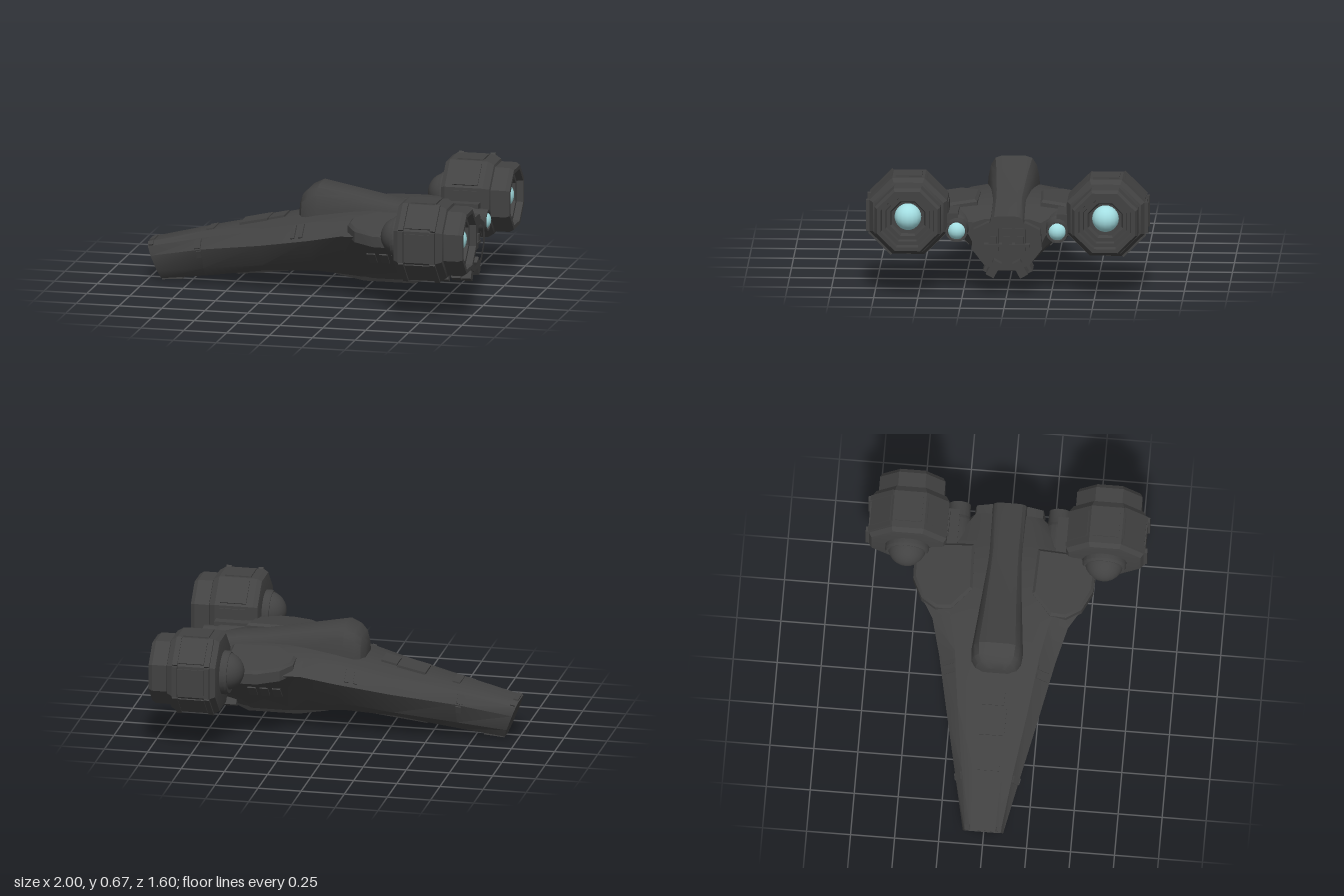
import * as THREE from 'three';
import { toCreasedNormals } from 'three/addons/utils/BufferGeometryUtils.js';

export function createModel() {
  const root = new THREE.Group();
  root.name = 'spacecraft';
  const hullGrey = new THREE.MeshStandardMaterial({ color: 0x424242 });
  hullGrey.name = 'hull grey';
  const glowBlue = new THREE.MeshStandardMaterial({ color: 0xa4dfe3 });
  glowBlue.name = 'engine glow blue';

  const add = (name, geo, parent = root, mat = hullGrey) => {
    const mesh = new THREE.Mesh(toCreasedNormals(geo, 0.5), mat);
    mesh.name = name;
    parent.add(mesh);
    return mesh;
  };
  const box = (name, x0, x1, y0, y1, z0, z1, parent = root) => {
    const mesh = add(name, new THREE.BoxGeometry(x1 - x0, y1 - y0, z1 - z0), parent);
    mesh.position.set((x0 + x1) / 2, (y0 + y1) / 2, (z0 + z1) / 2);
    return mesh;
  };

  // Skin a list of rings; each ring runs counterclockwise seen from the last ring's side
  const loft = (rings) => {
    const n = rings[0].length, last = (rings.length - 1) * n, index = [];
    for (let r = 0; r < rings.length - 1; r++) {
      for (let i = 0; i < n; i++) {
        const a = r * n + i, b = r * n + ((i + 1) % n);
        index.push(a, b, a + n, b, b + n, a + n);
      }
    }
    for (let i = 1; i < n - 1; i++) index.push(0, i + 1, i, last, last + i, last + i + 1);
    const geo = new THREE.BufferGeometry();
    geo.setAttribute('position', new THREE.Float32BufferAttribute(rings.flat(2), 3));
    geo.setIndex(index);
    return geo;
  };
  // Full ring from half-section points [y, z], top to bottom
  const mirrorRing = (x, half, shift = () => 0) => {
    const full = [...half, ...half.slice().reverse().map(([y, z]) => [y, -z])];
    return full.map(([y, z]) => [x + shift(y), y, z]);
  };

  // Main hull: x, then roof, shoulder, widest line, lower side, belly as [y, half width]
  const stations = [
    [-1.0, [0.22, 0.07], [0.2, 0.1], [0.15, 0.115], [0.06, 0.1], [0.012, 0.07]],
    [-0.66, [0.305, 0.08], [0.28, 0.145], [0.22, 0.185], [0.1, 0.14], [0.045, 0.08]],
    [-0.3, [0.385, 0.09], [0.355, 0.2], [0.28, 0.265], [0.15, 0.19], [0.1, 0.1]],
    [0.0, [0.455, 0.1], [0.43, 0.24], [0.34, 0.33], [0.2, 0.23], [0.115, 0.1]],
    [0.2, [0.475, 0.12], [0.455, 0.28], [0.39, 0.385], [0.27, 0.28], [0.1, 0.1]],
    [0.32, [0.485, 0.13], [0.465, 0.33], [0.41, 0.46], [0.3, 0.31], [0.09, 0.1]],
    [0.54, [0.48, 0.14], [0.465, 0.37], [0.41, 0.5], [0.3, 0.31], [0.09, 0.1]],
    [0.66, [0.46, 0.14], [0.44, 0.3], [0.39, 0.38], [0.27, 0.24], [0.12, 0.09]],
    [0.84, [0.43, 0.13], [0.41, 0.19], [0.34, 0.22], [0.22, 0.16], [0.14, 0.07]],
  ];
  const hullRings = stations.map(([x, ...half], i) =>
    mirrorRing(x, half, (y) => (i === 0 ? 0.08 * (0.22 - y) / 0.21 : 0)));
  add('mainHull', loft(hullRings));

  // Thin raised panel lying on one hull facet
  const panel = (name, seg, edge, u0, u1, v0, v1, height = 0.008) => {
    const at = (u, v) => {
      const p = (ring, i) => new THREE.Vector3(...ring[i % 10]);
      const a = p(hullRings[seg], edge).lerp(p(hullRings[seg], edge + 1), v);
      const b = p(hullRings[seg + 1], edge).lerp(p(hullRings[seg + 1], edge + 1), v);
      return a.lerp(b, u);
    };
    const base = [at(u0, v0), at(u0, v1), at(u1, v1), at(u1, v0)];
    const up = base[1].clone().sub(base[0]).cross(base[3].clone().sub(base[0])).setLength(height);
    add(name, loft([
      base.map((p) => p.clone().addScaledVector(up, -0.5).toArray()),
      base.map((p) => p.clone().add(up).toArray()),
    ]));
  };
  const pairPanel = (name, seg, edge, u0, u1, v0, v1) => {
    panel(name, seg, edge, u0, u1, v0, v1);
    panel(name, seg, 8 - edge, u0, u1, 1 - v1, 1 - v0);
  };
  pairPanel('noseSidePanel', 0, 1, 0.86, 0.98, 0.1, 0.9);
  pairPanel('noseSideHatch', 0, 2, 0.9, 1, 0.05, 0.4);
  pairPanel('shoulderHatch', 2, 1, 0.62, 0.7, 0.05, 0.8);
  pairPanel('shoulderHatch', 2, 1, 0.78, 0.86, 0.05, 0.8);
  for (const u of [0.05, 0.38, 0.7]) pairPanel('lowerSideVent', 5, 3, u, u + 0.22, 0.1, 0.4);
  pairPanel('noseTopStrip', 0, 0, 0.02, 0.1, 0.1, 0.9);
  panel('noseTopPlate', 0, 9, 0.02, 0.1, 0.15, 0.85);
  panel('dorsalPlate', 1, 9, 0, 0.12, 0.1, 0.9);
  panel('dorsalHatch', 1, 9, 0.55, 1, 0.05, 0.95, 0.014);
  panel('dorsalWindow', 2, 9, 0.02, 0.32, 0.15, 0.85, 0.012);

  // Belly keels
  const keel = (name, pts) => add(name, loft(pts.map(([x, y, w]) =>
    mirrorRing(x, [[y + 0.08, w + 0.04], [y, w]]))));
  keel('frontKeel', [[-0.52, 0.075, 0.06], [-0.47, 0.065, 0.08], [-0.15, 0.105, 0.09]]);
  keel('rearKeel', [[0.1, 0.095, 0.07], [0.27, 0.07, 0.09], [0.56, 0.07, 0.09], [0.66, 0.105, 0.07]]);
  box('noseKeel', -0.92, -0.8, 0.008, 0.05, -0.06, 0.06).rotation.z = 0.08;

  // Cockpit hump running back into the spine: x, base y, top y, half width
  const hump = [[-0.115, 0.42, 0.5, 0.07], [-0.095, 0.41, 0.55, 0.115], [-0.06, 0.42, 0.585, 0.138],
    [0, 0.43, 0.613, 0.145], [0.2, 0.44, 0.577, 0.125], [0.48, 0.43, 0.525, 0.105],
    [0.6, 0.41, 0.51, 0.1], [0.9, 0.39, 0.46, 0.1]];
  add('cockpitSpine', loft(hump.map(([x, b, t, w]) => mirrorRing(x,
    [[1, 0.45], [0.93, 0.72], [0.7, 0.9], [0.3, 1], [0, 1.02]].map(([f, g]) => [b + (t - b) * f, w * g])))));

  // Rear frame with recessed machinery
  const outline = [[0.11, 0.42], [0.19, 0.38], [0.2, 0.27], [0.13, 0.18], [0.06, 0.15]];
  const trapezoid = (k) => [...outline, ...outline.slice().reverse().map(([z, y]) => [-z, y])]
    .map(([z, y]) => new THREE.Vector2(z * k, 0.29 + (y - 0.29) * k));
  const frame = new THREE.Shape(trapezoid(1));
  frame.holes.push(new THREE.Path(trapezoid(0.8)));
  add('rearFrame', new THREE.ExtrudeGeometry(frame, { depth: 0.08, bevelEnabled: false })
    .rotateY(Math.PI / 2).translate(0.82, 0, 0));
  for (const z of [-0.075, 0, 0.075]) {
    box('rearMachinery', 0.82, 0.885, 0.25, 0.385, z - 0.028, z + 0.028);
    box('rearMachineryCap', 0.87, 0.897, 0.3, 0.34, z - 0.018, z + 0.018);
  }
  box('rearCrossbar', 0.84, 0.895, 0.28, 0.295, -0.13, 0.13);

  // Lathe about the x axis; profile as [x, radius]
  const spin = (profile, sides) => {
    const k = sides === 8 ? 1 / Math.cos(Math.PI / 8) : 1;
    return new THREE.LatheGeometry(profile.map(([x, r]) => new THREE.Vector2(r * k, x)),
      sides, Math.PI / sides).rotateZ(-Math.PI / 2);
  };

  for (const s of [1, -1]) {
    const side = s > 0 ? 'left' : 'right';

    // Raised wing shield, sloping down outward
    const plan = [[0.24, 0.28], [0.36, 0.17], [0.63, 0.18], [0.63, 0.42], [0.53, 0.515],
      [0.42, 0.512], [0.3, 0.455], [0.24, 0.37]];
    const shield = new THREE.ExtrudeGeometry(
      new THREE.Shape(plan.map(([x, z]) => new THREE.Vector2(x, -s * z))),
      { depth: 0.06, bevelSize: 0.015, bevelThickness: 0.015, bevelOffset: -0.015, bevelSegments: 1 })
      .rotateX(-Math.PI / 2);
    const pos = shield.attributes.position;
    for (let i = 0; i < pos.count; i++) {
      pos.setY(i, pos.getY(i) + 0.425 - 0.16 * (Math.abs(pos.getZ(i)) - 0.17));
    }
    add(side + 'WingShield', shield);

    // Inner thruster
    const thruster = new THREE.Group();
    thruster.name = side + 'InnerThruster';
    thruster.position.set(0, 0.37, s * 0.285);
    root.add(thruster);
    add('thrusterTube', spin([[0.6, 0], [0.6, 0.075], [0.8, 0.075], [0.82, 0.066], [0.9, 0.062],
      [0.9, 0.052], [0.86, 0.045]], 16), thruster);
    add('thrusterGlow', new THREE.SphereGeometry(0.055, 16, 10).translate(0.86, 0, 0), thruster, glowBlue);

    // Lower tail fins
    const fin = box(side + 'TailFin', 0.62, 0.77, 0.1, 0.2, s * 0.1 - 0.02, s * 0.1 + 0.02);
    fin.rotation.x = -s * 0.5;
    for (const x of [0.78, 0.84]) {
      box(side + 'TailSpike', x, x + 0.055, 0.105, 0.2, s * 0.075 - 0.025, s * 0.075 + 0.025).rotation.x = -s * 0.5;
    }
    box(side + 'EnginePylon', 0.6, 0.84, 0.34, 0.46, Math.min(s * 0.28, s * 0.37), Math.max(s * 0.28, s * 0.37));

    // Outer engine: octagonal shell, nested nozzle and intake dome
    const engine = new THREE.Group();
    engine.name = side + 'Engine';
    engine.position.set(0, 0.447, s * 0.56);
    root.add(engine);
    add('engineShell', spin([[0.6, 0], [0.6, 0.18], [0.605, 0.205], [0.63, 0.22], [0.85, 0.22], [0.885, 0.2],
      [0.89, 0.186], [0.975, 0.186], [0.998, 0.172], [0.998, 0.15], [0.96, 0.145], [0.96, 0.125],
      [0.93, 0.12], [0.93, 0.1], [0.9, 0.09], [0.89, 0]], 8), engine);
    add('engineGlow', new THREE.SphereGeometry(0.076, 16, 12).translate(0.905, 0.008, 0), engine, glowBlue);
    add('intakeCollar', spin([[0.56, 0.09], [0.56, 0.118], [0.575, 0.125], [0.61, 0.125]], 24), engine);
    add('intakeDome', new THREE.SphereGeometry(0.11, 24, 16).translate(0.592, 0.008, 0), engine);
    for (let i = 0; i < 8; i++) {
      const face = new THREE.Group();
      face.name = 'shellFace';
      face.rotation.x = i * Math.PI / 4;
      engine.add(face);
      box('armourPlate', 0.67, 0.82, 0.21, 0.227, -0.075, 0.075, face);
    }
    // Clamp ribs around the outward half
    for (let i = 1; i <= 3; i++) {
      const ribs = new THREE.Group();
      ribs.name = 'clampRibs';
      ribs.rotation.x = s * i * Math.PI / 4;
      engine.add(ribs);
      for (const x of [0.635, 0.82]) box('clampRib', x, x + 0.03, 0.2, i === 2 ? 0.24 : 0.232, -0.09, 0.09, ribs);
    }
  }
  return root;
}
